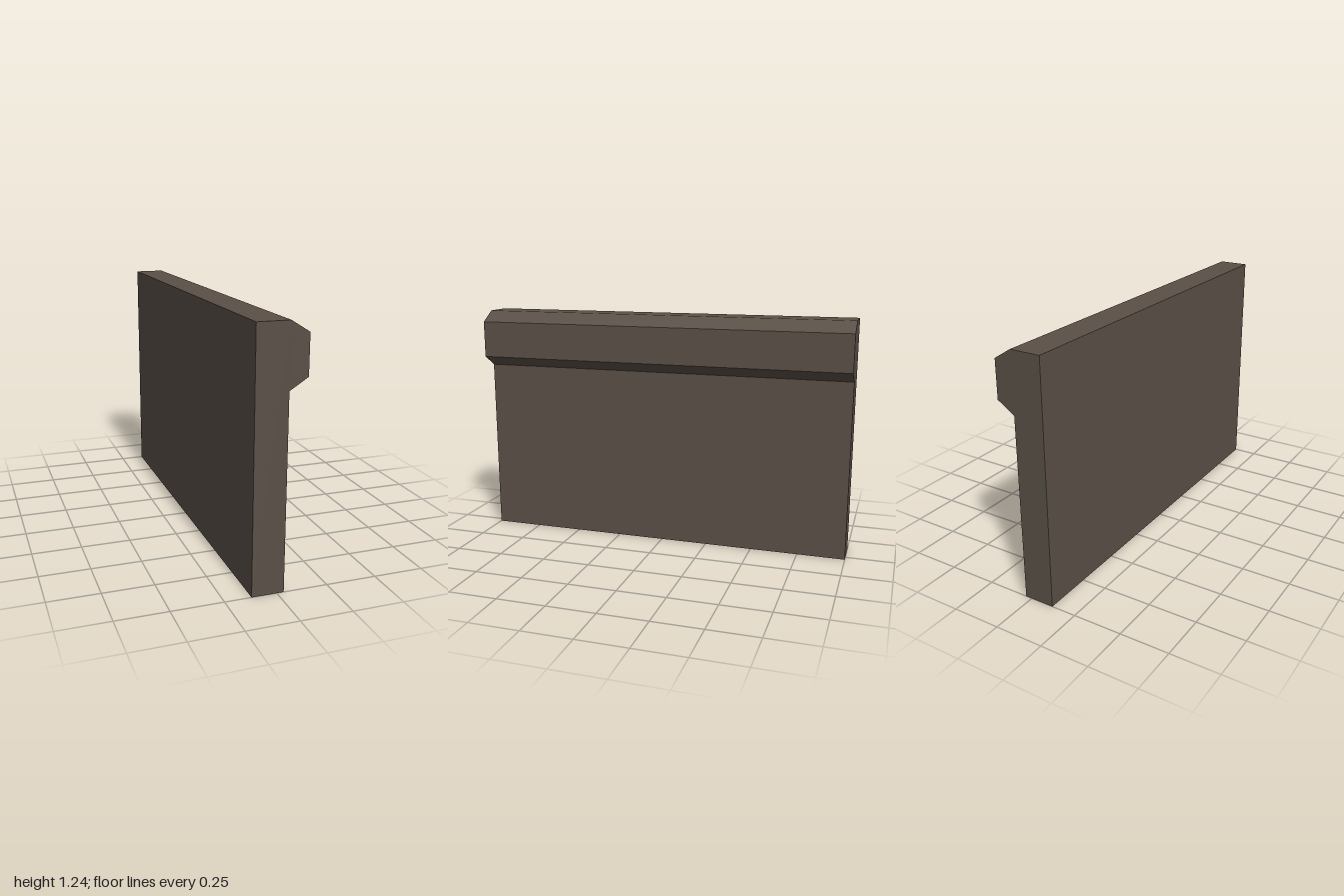
import * as THREE from 'three';

// Wall cross-section: a straight panel with a chamfered coping on its left (+x) side
const PROFILE = [
  [-0.122, 0], [0.034, 0], [0.034, 0.937], [0.122, 0.993],
  [0.122, 1.185], [0.034, 1.24], [-0.122, 1.24],
];
const LENGTH = 2;

// Remove the triangles lying on the ground, leaving the underside open
function openBottom(geometry) {
  const source = geometry.index ? geometry.toNonIndexed() : geometry;
  const p = source.attributes.position;
  const kept = [];
  for (let i = 0; i < p.count; i += 3) {
    const onGround = [i, i + 1, i + 2].every((k) => Math.abs(p.getY(k)) < 1e-5);
    if (!onGround) kept.push(i, i + 1, i + 2);
  }
  source.clearGroups();
  source.setIndex(kept);
  return source;
}

export function createModel() {
  const model = new THREE.Group();
  model.name = 'parapetWall';

  const concrete = new THREE.MeshStandardMaterial({ color: 0x5a5047 });
  concrete.name = 'dark brown concrete';
  concrete.side = THREE.DoubleSide;

  // Hollow wall shell, extruded along z
  const shape = new THREE.Shape(PROFILE.map(([x, y]) => new THREE.Vector2(x, y)));
  const geometry = new THREE.ExtrudeGeometry(shape, { depth: LENGTH, bevelEnabled: false });
  geometry.translate(0, 0, -LENGTH / 2);

  const wall = new THREE.Mesh(openBottom(geometry), concrete);
  wall.name = 'wallWithCoping';
  model.add(wall);
  return model;
}
